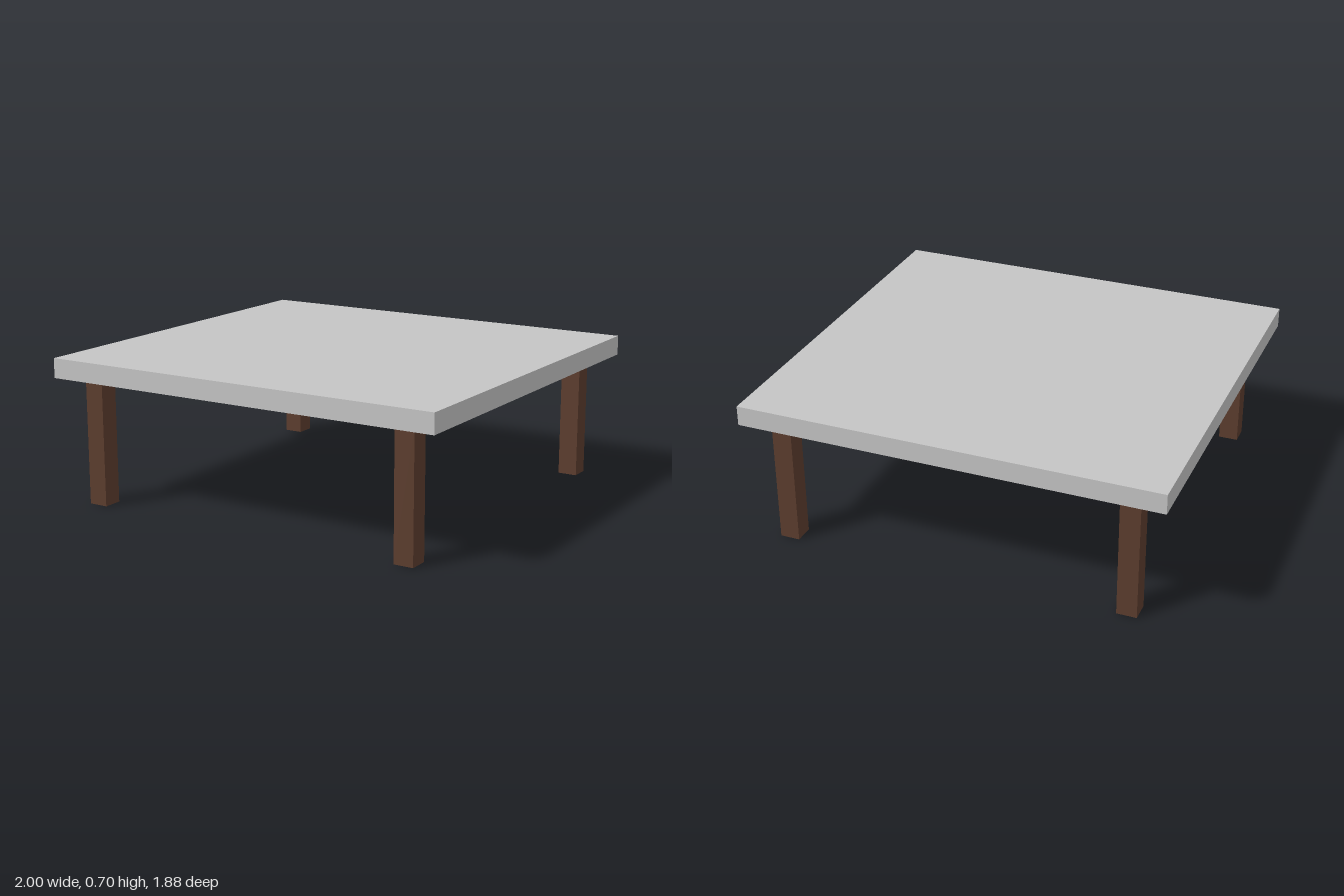
import * as THREE from 'three';

const LEG_HEIGHT = 0.602;
const LEG_WIDTH = 0.094;
const LEG_OFFSET = 0.824;
const TOP_THICKNESS = 0.094;

export function createModel() {
  const table = new THREE.Group();
  table.name = 'table';

  const grey = new THREE.MeshStandardMaterial({ color: 0xc4c4c4 });
  grey.name = 'pale grey';
  const brown = new THREE.MeshStandardMaterial({ color: 0x5c3d2e });
  brown.name = 'dark brown wood';

  // Flat slab top
  const top = new THREE.Mesh(new THREE.BoxGeometry(2, TOP_THICKNESS, 1.88), grey);
  top.name = 'tableTop';
  top.position.y = LEG_HEIGHT + TOP_THICKNESS / 2;
  table.add(top);

  // Four square legs, set in from the corners
  const legGeometry = new THREE.BoxGeometry(LEG_WIDTH, LEG_HEIGHT, LEG_WIDTH);
  for (const [zName, z] of [['front', 1], ['back', -1]]) {
    for (const [xName, x] of [['Left', 1], ['Right', -1]]) {
      const leg = new THREE.Mesh(legGeometry, brown);
      leg.name = `${zName}${xName}Leg`;
      leg.position.set(x * LEG_OFFSET, LEG_HEIGHT / 2, z * LEG_OFFSET);
      table.add(leg);
    }
  }

  return table;
}
